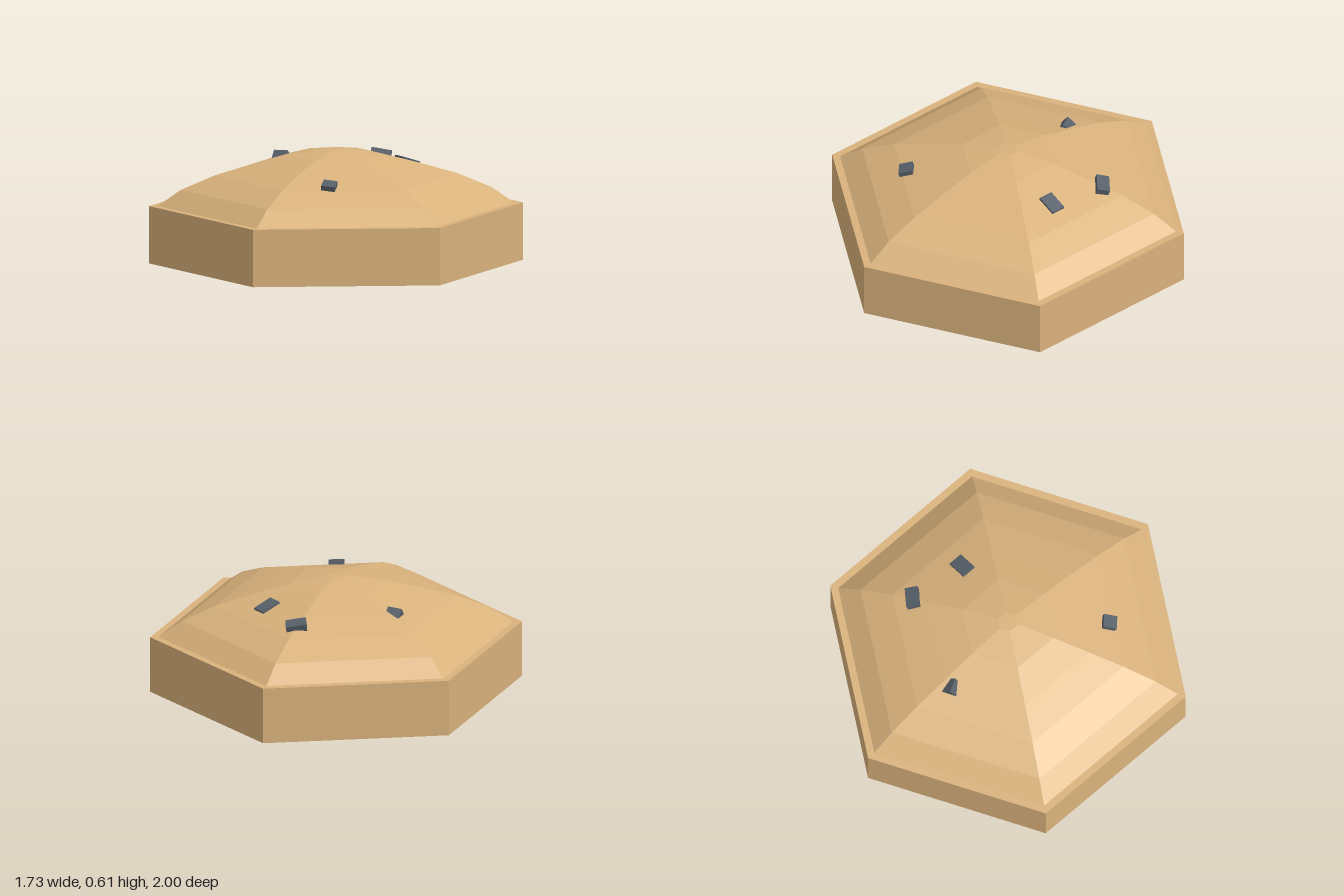
import * as THREE from 'three';

export function createModel() {
  const model = new THREE.Group();
  model.name = 'sandMoundTile';

  const sand = new THREE.MeshStandardMaterial({ color: 0xd9b27c, flatShading: true, side: THREE.DoubleSide });
  sand.name = 'sand';
  const stone = new THREE.MeshStandardMaterial({ color: 0x565f69, flatShading: true });
  stone.name = 'slate stone';

  // Six-sided shell from a profile of [corner radius, height], bottom to top
  function hexShell(name, profile) {
    const points = profile.map(([r, y]) => new THREE.Vector2(r, y));
    const mesh = new THREE.Mesh(new THREE.LatheGeometry(points, 6), sand);
    mesh.name = name;
    model.add(mesh);
  }

  // Open-bottomed hexagonal tile: walls, narrow ledge and mound
  hexShell('wall', [[1, 0], [1, 0.31]]);
  hexShell('ledge', [[1, 0.31], [0.955, 0.31]]);
  hexShell('mound', [
    [0.955, 0.31], [0.83, 0.396], [0.65, 0.472], [0.54, 0.504],
    [0.455, 0.528], [0.256, 0.58], [0.055, 0.611], [0, 0.611],
  ]);

  // Stones half sunk in the mound, each leaning along its own normal
  const up = new THREE.Vector3(0, 1, 0);
  const stones = [
    { name: 'rightStone', size: [0.115, 0.045, 0.08], at: [0.42, 0.508, 0.05], normal: [0.33, 1, 0], yaw: 0 },
    { name: 'ridgeStone', size: [0.11, 0.055, 0.07], at: [0.465, 0.506, -0.265], normal: [0.3, 1, -0.12], yaw: -0.63 },
    { name: 'backStone', size: [0.06, 0.07, 0.08], at: [-0.055, 0.505, -0.445], normal: [0.7, 1, -0.45], yaw: 0.5 },
    { name: 'frontStone', size: [0.075, 0.04, 0.075], at: [-0.33, 0.488, 0.43], normal: [-0.17, 1, 0.3], yaw: 0.78 },
  ];
  for (const { name, size, at, normal, yaw } of stones) {
    const mesh = new THREE.Mesh(new THREE.BoxGeometry(...size), stone);
    mesh.name = name;
    mesh.position.set(...at);
    mesh.quaternion.setFromUnitVectors(up, new THREE.Vector3(...normal).normalize());
    mesh.rotateY(yaw);
    model.add(mesh);
  }

  return model;
}
